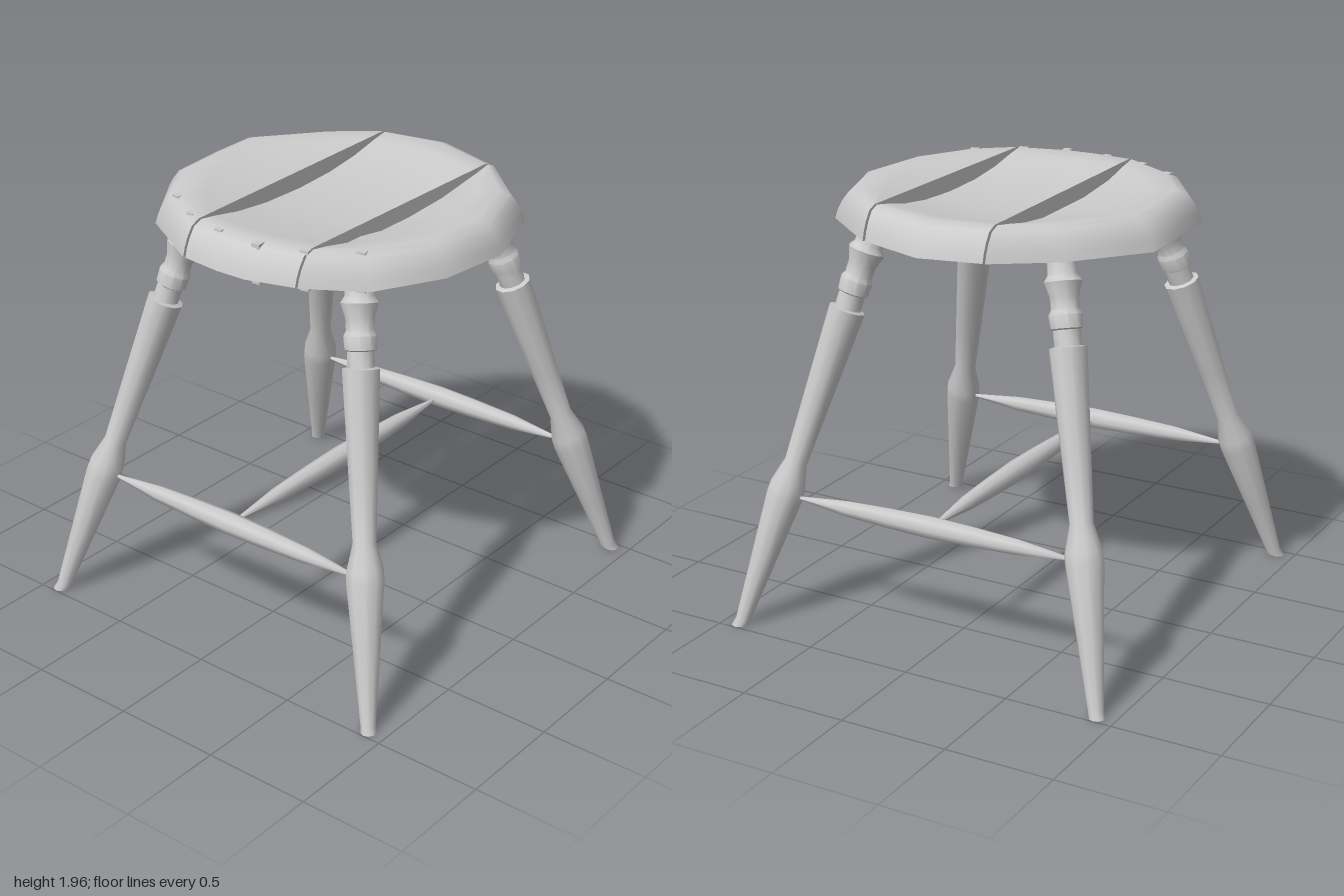
import * as THREE from 'three';
import { toCreasedNormals } from 'three/addons/utils/BufferGeometryUtils.js';

const wood = new THREE.MeshStandardMaterial({ color: 0xcccccc, side: THREE.DoubleSide });

function addMesh(parent, geometry, name) {
  const mesh = new THREE.Mesh(geometry, wood);
  mesh.name = name;
  parent.add(mesh);
  return mesh;
}

// Turned part: [distance along the axis, radius] pairs, standing from one point to another
function turned(profile, sides, from, to, crease) {
  const points = profile.map(([h, r]) => new THREE.Vector2(r, h));
  const axis = to.clone().sub(from).normalize();
  const turn = new THREE.Quaternion().setFromUnitVectors(new THREE.Vector3(0, 1, 0), axis);
  const geometry = new THREE.LatheGeometry(points, sides);
  geometry.applyQuaternion(turn).translate(from.x, from.y, from.z);
  return toCreasedNormals(geometry, crease);
}

// Seams between the planks, slightly askew
const leftSeam = z => -0.24 + 0.026 * z;
const rightSeam = z => 0.355 - 0.007 * z;
const gap = 0.006;

// Seat rings from underside centre, round the rim, to the dished centre: [scale, height]
const seatRings = [
  [0, 1.785], [0.8, 1.785], [0.86, 1.808], [1, 1.82], [0.985, 1.86], [0.96, 1.9],
  [0.92, 1.942], [0.86, 1.96], [0.74, 1.945], [0.55, 1.915], [0.3, 1.893], [0, 1.885],
];

// One plank: every ring follows the outline and is held between the seams
function plank(outline, minX, maxX) {
  const n = outline.length;
  const positions = [];
  const index = [];
  for (const [s, y] of seatRings) {
    for (const [px, pz, onSeam] of outline) {
      const z = pz * s;
      const x = onSeam ? px : px * s;
      positions.push(onSeam === 'min' ? minX(z) : onSeam === 'max' ? maxX(z)
        : Math.min(Math.max(x, minX(z)), maxX(z)), y, z);
    }
  }
  for (let r = 0; r < seatRings.length - 1; r++) {
    for (let i = 0; i < n; i++) {
      const a = r * n + i, b = r * n + (i + 1) % n;
      index.push(a, b, a + n, b, b + n, a + n);
    }
  }
  const geometry = new THREE.BufferGeometry();
  geometry.setAttribute('position', new THREE.Float32BufferAttribute(positions, 3));
  geometry.setIndex(index);
  return toCreasedNormals(geometry, 0.8);
}

function createSeat() {
  const seat = new THREE.Group();
  seat.name = 'seat';
  // Outlines run from the front towards +x and round to the back
  addMesh(seat, plank([
    [-0.26, -0.75, 'max'], [-0.53, -0.57], [-0.79, -0.25], [-0.785, 0.0], [-0.76, 0.3],
    [-0.57, 0.58], [-0.22, 0.78, 'max'],
  ], () => -2, z => leftSeam(z) - gap), 'leftSeamPlank').name = 'rightPlank';
  addMesh(seat, plank([
    [-0.22, 0.78, 'min'], [-0.02, 0.8], [0.13, 0.795], [0.36, 0.73, 'max'],
    [0.36, -0.7, 'max'], [0.03, -0.81], [-0.26, -0.75, 'min'],
  ], z => leftSeam(z) + gap, z => rightSeam(z) - gap), 'middlePlank');
  addMesh(seat, plank([
    [0.36, 0.73, 'min'], [0.61, 0.57], [0.77, 0.27], [0.81, -0.07], [0.68, -0.44],
    [0.36, -0.7, 'min'],
  ], z => rightSeam(z) + gap, () => 2), 'leftPlank');

  // Small square pegs along the front edge, through the seat
  for (const [x, z] of [[-0.48, 0.52], [-0.3, 0.63], [-0.09, 0.69], [0.13, 0.71], [0.33, 0.64], [0.52, 0.51]]) {
    const peg = addMesh(seat, new THREE.BoxGeometry(0.04, 0.18, 0.04), 'peg');
    peg.position.set(x, 1.868, z);
    peg.rotation.y = x * 0.6;
  }
  return seat;
}

// Leg radius by height: foot, swelling at the stretcher, shaft, collars and neck
const legProfile = [
  [-0.03, 0], [-0.03, 0.036], [0.02, 0.034], [0.3, 0.058], [0.6, 0.084], [0.65, 0.082], [0.76, 0.052],
  [1.0, 0.063], [1.45, 0.083], [1.455, 0.06], [1.52, 0.06], [1.525, 0.07], [1.58, 0.074],
  [1.6, 0.062], [1.65, 0.064], [1.71, 0.084], [1.735, 0.066], [1.8, 0.062], [1.8, 0],
];

function createLeg(sx, sz) {
  const foot = new THREE.Vector3(0.91 * sx, 0, 0.955 * sz);
  const top = new THREE.Vector3(0.465 * sx, 1.8, 0.46 * sz);
  const stretch = foot.distanceTo(top) / 1.8;
  const geometry = turned(legProfile.map(([h, r]) => [h * stretch, r]), 10, foot, top, 0.7);
  // Level the foot on the floor
  const p = geometry.attributes.position;
  for (let i = 0; i < p.count; i++) p.setY(i, Math.max(0, p.getY(i)));
  return geometry;
}

// Spindle swelling to the middle with pointed ends
function createStretcher(from, to) {
  const length = from.distanceTo(to);
  const profile = [[0, 0.004], [0.2, 0.036], [0.36, 0.046], [0.5, 0.051], [0.64, 0.046], [0.8, 0.036], [1, 0.004]];
  return turned(profile.map(([t, r]) => [t * length, r]), 8, from, to, 0.9);
}

export function createModel() {
  const stool = new THREE.Group();
  stool.name = 'stool';
  stool.add(createSeat());

  for (const sz of [1, -1]) {
    const end = sz > 0 ? 'front' : 'back';
    for (const sx of [1, -1]) addMesh(stool, createLeg(sx, sz), end + (sx > 0 ? 'LeftLeg' : 'RightLeg'));
    addMesh(stool, createStretcher(
      new THREE.Vector3(-0.72, 0.602, 0.78 * sz), new THREE.Vector3(0.72, 0.602, 0.78 * sz)), end + 'Stretcher');
  }
  addMesh(stool, createStretcher(
    new THREE.Vector3(0, 0.602, -0.76), new THREE.Vector3(0, 0.602, 0.76)), 'middleStretcher');
  return stool;
}
